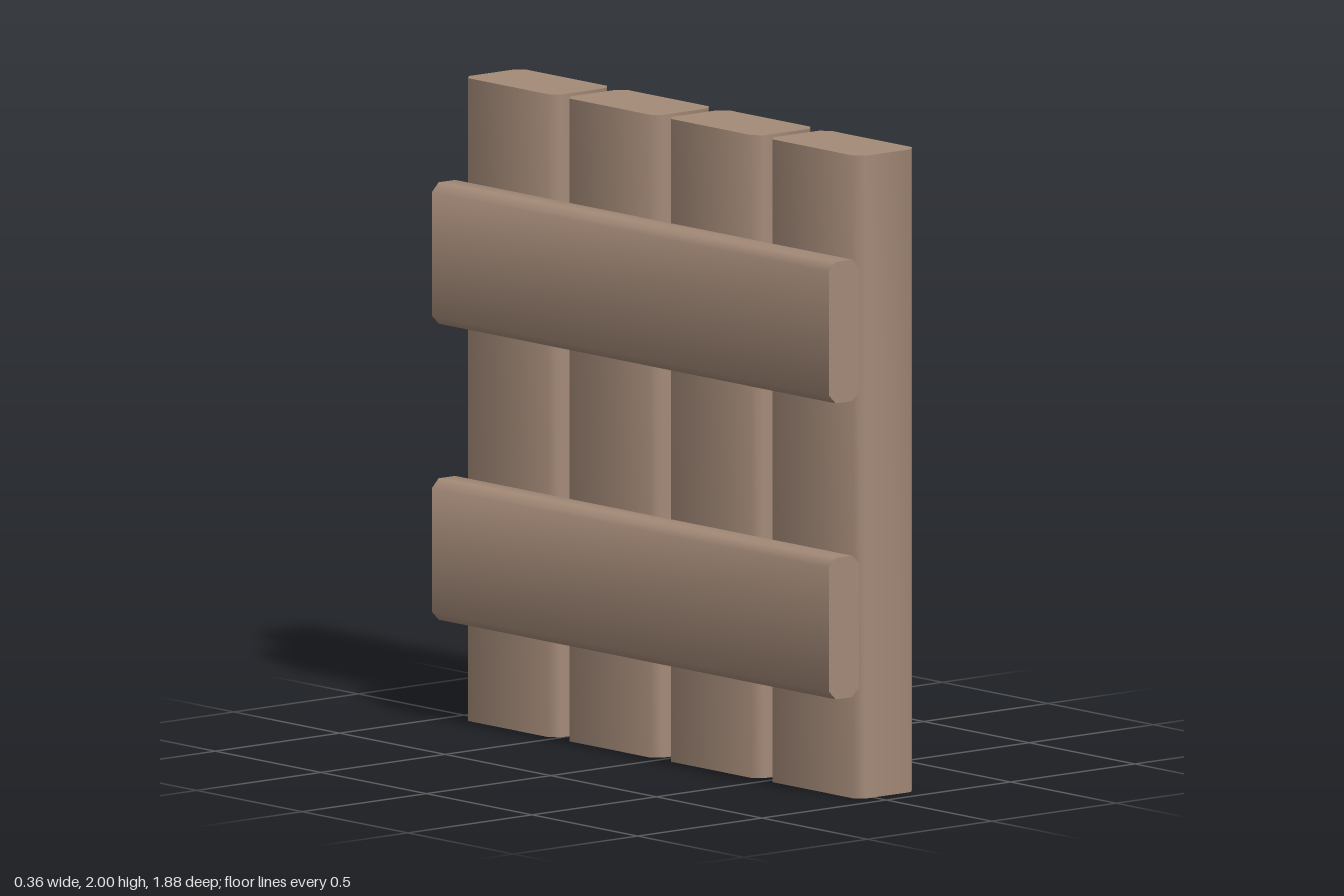
import * as THREE from 'three';
import { toCreasedNormals } from 'three/addons/utils/BufferGeometryUtils.js';

// Board with chamfered long edges: cross-section w by h, running along z
function boardGeometry(w, h, length, c) {
  const x = w / 2, y = h / 2;
  const section = new THREE.Shape([
    [x - c, -y], [x, -y + c], [x, y - c], [x - c, y],
    [-x + c, y], [-x, y - c], [-x, -y + c], [-x + c, -y],
  ].map(([a, b]) => new THREE.Vector2(a, b)));
  const geometry = new THREE.ExtrudeGeometry(section, { depth: length, bevelEnabled: false });
  geometry.translate(0, 0, -length / 2);
  // Chamfers blend into the sides, end cuts stay sharp
  return toCreasedNormals(geometry, 0.9);
}

export function createModel() {
  const model = new THREE.Group();
  model.name = 'woodenFence';
  const wood = new THREE.MeshStandardMaterial({ color: 0xa48a78 });
  wood.name = 'wood';

  // Four upright planks
  const plankGeometry = boardGeometry(0.236, 0.436, 2, 0.027).rotateX(-Math.PI / 2);
  for (let i = 0; i < 4; i++) {
    const plank = new THREE.Mesh(plankGeometry, wood);
    plank.name = `plank${i + 1}`;
    plank.position.set(0.06, 1, 0.7215 - i * 0.481);
    model.add(plank);
  }

  // Two rails joining the planks
  const railGeometry = boardGeometry(0.12, 0.44, 1.88, 0.027);
  [['lowerRail', 0.542], ['upperRail', 1.463]].forEach(([name, y]) => {
    const rail = new THREE.Mesh(railGeometry, wood);
    rail.name = name;
    rail.position.set(-0.119, y, 0);
    model.add(rail);
  });

  return model;
}
